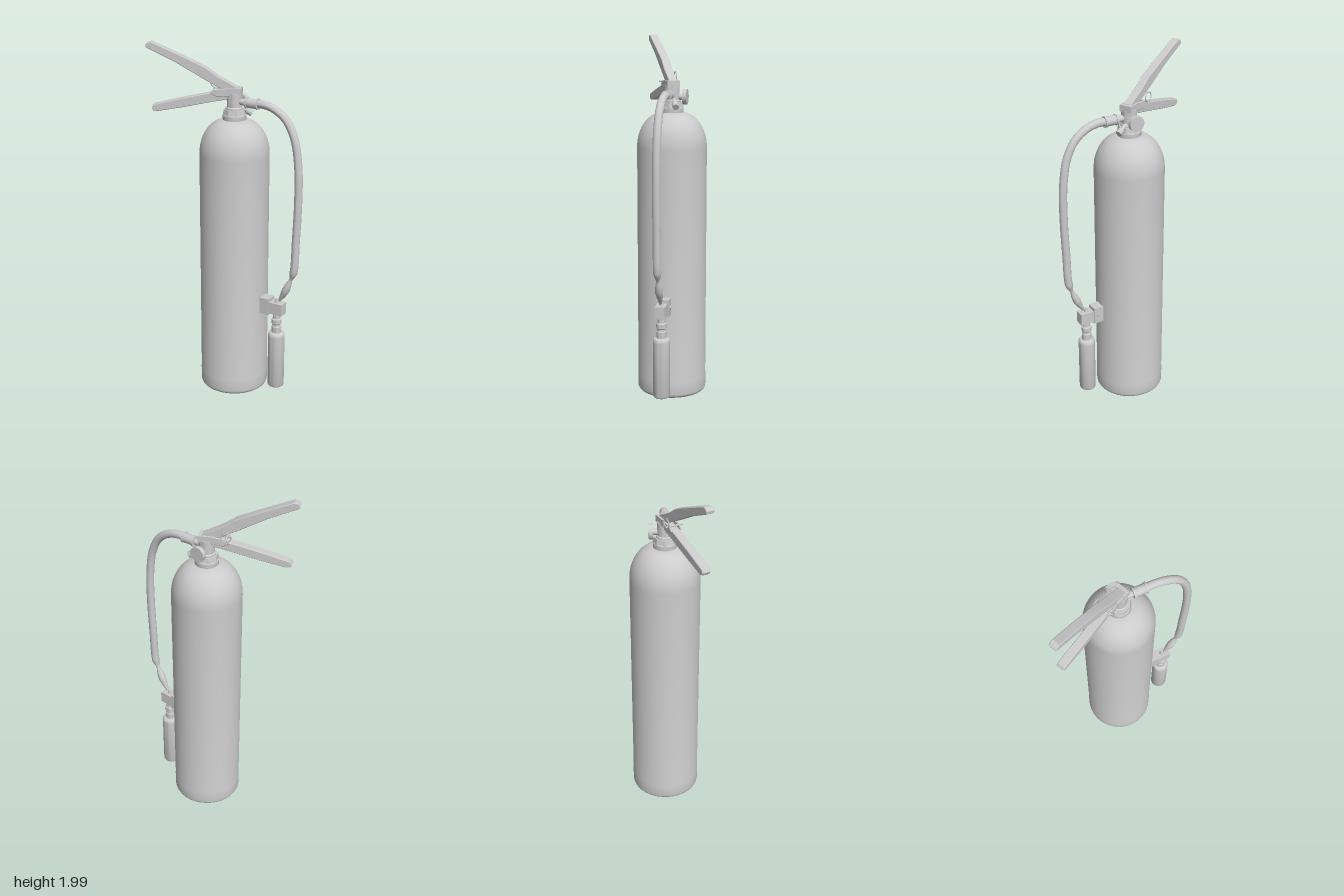
import * as THREE from 'three';
import { toCreasedNormals } from 'three/addons/utils/BufferGeometryUtils.js';

const CX = 0.003, CZ = -0.013;
const grey = new THREE.MeshStandardMaterial({ color: 0xcccccc });
const V = (x, y, z) => new THREE.Vector3(x, y, z);

function add(parent, name, geometry, x = 0, y = 0, z = 0) {
  const mesh = new THREE.Mesh(geometry, grey);
  mesh.name = name;
  mesh.position.set(x, y, z);
  parent.add(mesh);
  return mesh;
}

// Turned part: [radius, height] pairs from bottom to top
function turned(points, segments = 32) {
  const profile = points.map(([r, y]) => new THREE.Vector2(r, y));
  return toCreasedNormals(new THREE.LatheGeometry(profile, segments), 0.6);
}

// Straight rod between two points
function rod(parent, name, a, b, r, segments = 20, r2 = r) {
  const mesh = add(parent, name, new THREE.CylinderGeometry(r2, r, a.distanceTo(b), segments));
  mesh.position.copy(a).add(b).multiplyScalar(0.5);
  mesh.quaternion.setFromUnitVectors(V(0, 1, 0), b.clone().sub(a).normalize());
  return mesh;
}

// Quarter arc of profile points around (r0, y0)
function arc(r0, y0, rx, ry, from, to, steps) {
  return Array.from({ length: steps + 1 }, (_, i) => {
    const t = from + (to - from) * i / steps;
    return [r0 + rx * Math.cos(t), y0 + ry * Math.sin(t)];
  });
}

// Side outline extruded to a bar centred on z = 0
function bar(points, width) {
  const shape = new THREE.Shape(points.map(([x, y]) => new THREE.Vector2(x, y)));
  const bevel = 0.003;
  const geometry = new THREE.ExtrudeGeometry(shape, {
    depth: width - 2 * bevel, bevelEnabled: true, bevelSize: bevel,
    bevelOffset: -bevel, bevelThickness: bevel, bevelSegments: 1,
  });
  geometry.translate(0, 0, -width / 2 + bevel);
  return toCreasedNormals(geometry, 0.5);
}

// Hose of uneven thickness: each ring of the tube is scaled about its centre
function hoseGeometry() {
  const path = new THREE.CatmullRomCurve3([
    [0.13, 1.69], [0.19, 1.692], [0.255, 1.675], [0.325, 1.625], [0.376, 1.53], [0.402, 1.38],
    [0.406, 1.18], [0.398, 0.97], [0.388, 0.78], [0.368, 0.725], [0.34, 0.66], [0.302, 0.59],
  ].map(([x, y]) => V(x, y, CZ)), false, 'centripetal');
  const rings = 110, sides = 16;
  const geometry = new THREE.TubeGeometry(path, rings, 0.022, sides);
  const pos = geometry.attributes.position;
  const heights = [[0.59, 0.3], [0.625, 0.7], [0.66, 1], [0.695, 0.85], [0.735, 0.4], [0.775, 1], [3, 1]];
  const p = new THREE.Vector3();
  for (let i = 0; i <= rings; i++) {
    const c = path.getPointAt(i / rings);
    const k = Math.max(1, heights.findIndex(([y]) => y >= c.y));
    const [y0, s0] = heights[k - 1], [y1, s1] = heights[k];
    const s = s0 + (s1 - s0) * (c.y - y0) / (y1 - y0);
    for (let j = 0; j <= sides; j++) {
      const n = i * (sides + 1) + j;
      p.fromBufferAttribute(pos, n).sub(c).multiplyScalar(s).add(c);
      pos.setXYZ(n, p.x, p.y, p.z);
    }
  }
  geometry.computeVertexNormals();
  return geometry;
}

export function createModel() {
  const model = new THREE.Group();
  model.name = 'fireExtinguisher';

  // Tank with rounded foot, straight wall and domed shoulder
  add(model, 'tank', turned([
    [0, 0.006], ...arc(0.168, 0.031, 0.025, 0.025, -Math.PI / 2, 0, 5),
    [0.193, 0.1], [0.192, 0.105], [0.192, 1.4],
    ...arc(0.05, 1.4, 0.142, 0.192, 0.1, Math.PI / 2, 12), [0, 1.592],
  ], 64), CX, 0, CZ);

  // Neck ring and valve body
  add(model, 'neckCollar', turned([
    [0.062, 1.575], [0.064, 1.585], [0.064, 1.615], [0.06, 1.62], [0, 1.62],
  ]), CX, 0, CZ);
  add(model, 'hexCollar', toCreasedNormals(new THREE.CylinderGeometry(0.06, 0.065, 0.03, 8), 0.4), CX, 1.632, CZ);
  add(model, 'valveBody', turned([
    [0.048, 1.64], [0.048, 1.655], [0.042, 1.66], [0.042, 1.735], [0, 1.735],
  ]), CX, 0, CZ);

  // Handle assembly, local +x running along the levers
  const handle = new THREE.Group();
  handle.name = 'handle';
  handle.position.set(CX, 0, CZ);
  handle.rotation.y = Math.PI + 0.445;
  model.add(handle);
  add(handle, 'valveHead', new THREE.BoxGeometry(0.088, 0.036, 0.07), 0.004, 1.745, 0);
  add(handle, 'squeezeLever', bar([
    [-0.025, 1.755], [0.065, 1.755], [0.175, 1.815], [0.32, 1.898], [0.458, 1.963], [0.473, 1.972],
    [0.475, 1.985], [0.465, 1.996], [0.445, 2], [0.30, 1.938], [0.155, 1.872], [0.09, 1.825], [-0.02, 1.767],
  ], 0.046));
  add(handle, 'carryHandle', bar([
    [0.03, 1.703], [0.12, 1.686], [0.29, 1.65], [0.42, 1.626], [0.442, 1.63],
    [0.45, 1.645], [0.44, 1.662], [0.30, 1.697], [0.18, 1.724], [0.12, 1.736], [0.03, 1.745],
  ], 0.046));
  for (const side of [-1, 1])
    add(handle, 'handleCheek', bar([
      [-0.02, 1.725], [0.09, 1.715], [0.13, 1.735], [0.11, 1.757], [-0.02, 1.765],
    ], 0.008), 0, 0, side * 0.028);

  // Safety pin and pull ring
  rod(handle, 'safetyPin', V(0.105, 1.753, -0.047), V(0.105, 1.753, 0.048), 0.005, 10);
  add(handle, 'pullRing', new THREE.TorusGeometry(0.026, 0.003, 8, 28), 0.11, 1.778, 0.047);

  // Pressure gauge at the back
  rod(model, 'gaugeStem', V(CX, 1.676, CZ), V(CX, 1.676, -0.08), 0.018);
  rod(model, 'pressureGauge', V(CX, 1.676, -0.075), V(CX, 1.676, -0.098), 0.042, 32);

  // Relief plug pointing down beside the valve
  rod(model, 'reliefStem', V(0.03, 1.66, -0.03), V(0.075, 1.635, -0.045), 0.012, 12);
  rod(model, 'reliefPlug', V(0.065, 1.641, -0.042), V(0.09, 1.625, -0.052), 0.018, 12);

  // Hose outlet with ferrule rings, then the hose
  rod(model, 'hoseOutlet', V(0.02, 1.69, CZ), V(0.09, 1.69, CZ), 0.017);
  rod(model, 'hoseFerrule', V(0.08, 1.69, CZ), V(0.155, 1.69, CZ), 0.026);
  for (const x of [0.083, 0.15])
    rod(model, 'ferruleRing', V(x - 0.005, 1.69, CZ), V(x + 0.005, 1.69, CZ), 0.03);
  add(model, 'hose', hoseGeometry());

  // Bracket and clamp that hold the nozzle
  const nx = 0.286;
  add(model, 'bracket', new THREE.BoxGeometry(0.06, 0.096, 0.066), 0.22, 0.547, CZ);
  add(model, 'clamp', new THREE.BoxGeometry(0.085, 0.068, 0.056), 0.288, 0.543, CZ);
  rod(model, 'bracketScrew', V(0.22, 0.547, -0.04), V(0.22, 0.547, -0.054), 0.01, 12);

  // Nozzle neck and horn
  add(model, 'nozzleNeck', turned([
    [0, 0.385], [0.027, 0.385], [0.027, 0.43], [0.023, 0.435], [0.023, 0.445], [0.028, 0.45],
    [0.028, 0.475], [0.021, 0.48], [0.021, 0.515], [0.012, 0.58], [0.008, 0.6], [0, 0.6],
  ], 24), nx, 0, CZ);
  add(model, 'nozzleHorn', turned([
    [0, 0.053], ...arc(0.031, 0.069, 0.016, 0.016, -Math.PI / 2, 0, 4),
    [0.047, 0.37], ...arc(0.029, 0.378, 0.018, 0.017, 0.2, Math.PI / 2, 4), [0, 0.395],
  ]), nx, 0, CZ);

  return model;
}
